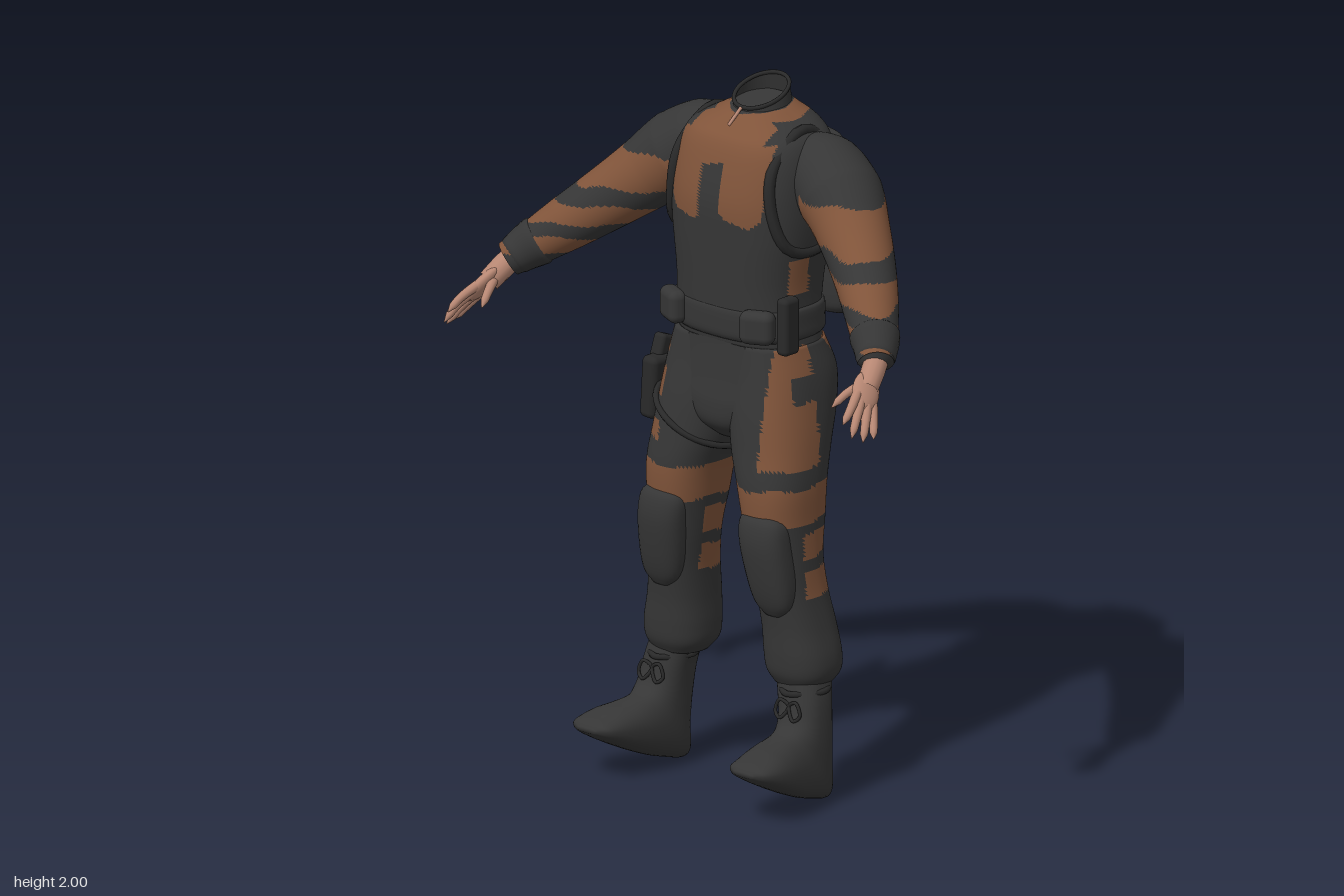
import * as THREE from 'three';
import { mergeVertices } from 'three/addons/utils/BufferGeometryUtils.js';
import { RoundedBoxGeometry } from 'three/addons/geometries/RoundedBoxGeometry.js';

const V = (a) => new THREE.Vector3(...a);
const material = (name, color, side = THREE.FrontSide) =>
  Object.assign(new THREE.MeshStandardMaterial({ color, side }), { name });

// Skin over rings listed from top to bottom: [centre x, half width, back z, front z, back y, front y]
function loft(rings, { p = 2.4, steps = 8, sides = 40 } = {}) {
  const full = rings.map((r) => (r.length === 5 ? [...r, r[4]] : r));
  const a = new THREE.CatmullRomCurve3(full.map((r) => V(r.slice(0, 3))), false, 'catmullrom');
  const b = new THREE.CatmullRomCurve3(full.map((r) => V(r.slice(3, 6))), false, 'catmullrom');
  const n = (rings.length - 1) * steps, pos = [], idx = [];
  const bend = (v) => Math.sign(v) * Math.abs(v) ** (2 / p);
  for (let i = 0; i <= n; i++) {
    const { x: cx, y: rx, z: zb } = a.getPoint(i / n), { x: zf, y: yb, z: yf } = b.getPoint(i / n);
    for (let j = 0; j < sides; j++) {
      const t = (j / sides) * Math.PI * 2, u = (1 + bend(Math.sin(t))) / 2;
      pos.push(cx + rx * bend(Math.cos(t)), yb + (yf - yb) * u, zb + (zf - zb) * u);
      const k = (j + 1) % sides, c = i * sides;
      if (i < n) idx.push(c + j, c + k, c + sides + j, c + k, c + sides + k, c + sides + j);
    }
  }
  for (const [r, i] of [[full[0], 0], [full[full.length - 1], n]]) {
    const c = pos.length / 3;
    pos.push(r[0], (r[4] + r[5]) / 2, (r[2] + r[3]) / 2);
    for (let j = 0; j < sides; j++) {
      const m = i * sides + j, k = i * sides + (j + 1) % sides;
      idx.push(c, i ? m : k, i ? k : m);
    }
  }
  const g = new THREE.BufferGeometry();
  g.setAttribute('position', new THREE.Float32BufferAttribute(pos, 3));
  g.setIndex(idx);
  g.computeVertexNormals();
  return g;
}

// Tapered tube through points, radii spread evenly along its length
function limb(points, radii, n = 40, sides = 24) {
  const curve = new THREE.CatmullRomCurve3(points.map(V));
  let g = new THREE.TubeGeometry(curve, n, 1, sides);
  const p = g.attributes.position, v = new THREE.Vector3();
  for (let i = 0; i < p.count; i++) {
    const t = Math.floor(i / (sides + 1)) / n, f = t * (radii.length - 1);
    const k = Math.min(Math.floor(f), radii.length - 2);
    const r = radii[k] + (radii[k + 1] - radii[k]) * (f - k), c = curve.getPointAt(t);
    v.fromBufferAttribute(p, i).sub(c).multiplyScalar(r).add(c);
    p.setXYZ(i, v.x, v.y, v.z);
  }
  g.deleteAttribute('uv');
  g.deleteAttribute('normal');
  g = mergeVertices(g, 1e-5);
  g.computeVertexNormals();
  return g;
}

// Sort faces into two material groups by where their centres lie
function paint(g, isPatch) {
  const p = g.attributes.position, sets = [[], []], idx = g.index.array;
  for (let i = 0; i < idx.length; i += 3) {
    const f = [idx[i], idx[i + 1], idx[i + 2]];
    const mid = (get) => f.reduce((s, k) => s + p[get](k), 0) / 3;
    const x = mid('getX'), y = mid('getY'), z = mid('getZ');
    const w = 0.005 * Math.sin(38 * x + 9 * y) + 0.005 * Math.sin(31 * z + 25 * x);
    sets[isPatch(x, y + w, z + w) ? 1 : 0].push(...f);
  }
  g.setIndex([...sets[0], ...sets[1]]);
  g.addGroup(0, sets[0].length, 0);
  g.addGroup(sets[0].length, sets[1].length, 1);
  return g;
}

const within = (v, lo, hi) => v > lo && v < hi;

function torsoPatch(x, y, z) {
  const X = Math.abs(x);
  // Ring around the neck, two chest panels, waist spots
  if (Math.hypot(x, z + 0.1) < 0.085) return false;
  if (z < -0.02) {
    if (y > 1.84 && Math.hypot(x / 0.132, (z + 0.1) / 0.125) < 1) return true;
    return X > 0.18 && within(y, 1.44, 1.54) && z > -0.06;
  }
  const corner = Math.max(0, X - 0.12) ** 2 * 18 + Math.max(0, 0.07 - X) ** 2 * 18;
  const edge = y > 1.86 ? 0.135 : 0.166;
  if (X < edge && y > 1.64 + corner) return y > 1.8 || !within(x, -0.042, 0.034);
  return X > 0.18 && within(y, 1.44, 1.54) && z < 0.01;
}

function trouserPatch(x, y, z) {
  const X = Math.abs(x);
  if (within(y, 0.8, 0.905)) return true;
  if (z < 0.03 && (within(y, 0.7, 0.77) || within(y, 0.59, 0.665))) return true;
  if (z < -0.08 && X < 0.2 && within(y, 1.25, 1.3)) return true;
  if (z < -0.05) return false;
  if (x > 0) return X > 0.185 && (within(y, 0.96, 1.14) || within(y, 1.21, 1.29) || (z > 0.03 && within(y, 1.1, 1.25)));
  return X > 0.185 && (within(y, 1.21, 1.29) || within(y, 1.09, 1.17) || within(y, 0.97, 1.02));
}

const sleevePatch = (x, y) => Math.abs(x) > 0.235 &&
  (within(y, 1.625, 1.735) || within(y, 1.515, 1.57) || within(y, 1.425, 1.475));

export function createModel() {
  const model = new THREE.Group();
  const cloth = material('charcoal cloth', 0x363636);
  const brown = material('brown patch', 0x80543a);
  const skin = material('skin', 0xb78773);
  const dark = material('dark webbing', 0x292929, THREE.DoubleSide);
  const add = (name, g, m, parent = model) => {
    const mesh = new THREE.Mesh(g, m);
    mesh.name = name;
    parent.add(mesh);
    return mesh;
  };
  const box = (name, size, at, m = cloth, r = 0.015) => {
    const mesh = add(name, new RoundedBoxGeometry(...size, 3, r), m);
    mesh.position.set(...at);
    return mesh;
  };
  const cord = (name, pts, r, closed = false, m = dark) =>
    add(name, new THREE.TubeGeometry(new THREE.CatmullRomCurve3(pts.map(V), closed), 40, r, 8, closed), m);

  // Torso and hips
  add('torso', paint(loft([
    [0, 0.08, -0.18, -0.02, 1.945, 1.925], [0, 0.105, -0.195, 0, 1.93, 1.915], [0, 0.16, -0.225, 0.04, 1.9, 1.89],
    [0, 0.2, -0.245, 0.07, 1.86], [0, 0.22, -0.255, 0.092, 1.8], [0, 0.226, -0.25, 0.112, 1.7],
    [0, 0.224, -0.235, 0.112, 1.6], [0, 0.208, -0.215, 0.106, 1.46], [0, 0.208, -0.2, 0.1, 1.36],
    [0, 0.208, -0.2, 0.09, 1.29]], { p: 2.6, steps: 12, sides: 110 }), torsoPatch), [cloth, brown]);
  add('hips', paint(loft([
    [0, 0.205, -0.2, 0.09, 1.33], [0, 0.216, -0.21, 0.092, 1.26], [0, 0.222, -0.216, 0.097, 1.18],
    [0, 0.2, -0.2, 0.104, 1.11], [0, 0.13, -0.165, 0.095, 1.05], [0, 0.05, -0.11, 0.05, 1.005]],
  { p: 2.5, sides: 64 }), trouserPatch), [cloth, brown]);

  // Collar, leaning forward and open at the top
  const collar = new THREE.CylinderGeometry(0.076, 0.09, 0.085, 32, 3, true);
  const cp = collar.attributes.position;
  for (let i = 0; i < cp.count; i++) cp.setY(i, cp.getY(i) - cp.getZ(i) * 0.42);
  collar.translate(0, 1.925, -0.1);
  collar.computeVertexNormals();
  add('collar', collar, material('collar cloth', 0x343434, THREE.DoubleSide));
  cord('collarRim', Array.from({ length: 16 }, (_, i) => {
    const t = (i / 16) * Math.PI * 2, z = Math.sin(t) * 0.076;
    return [Math.cos(t) * 0.076, 1.966 - z * 0.42, z - 0.1];
  }), 0.006, true);
  cord('collarZip', [[0, 1.935, -0.017], [0, 1.895, 0.035]], 0.005, false, skin);

  // Belt
  add('belt', loft([
    [0, 0.205, -0.2, 0.095, 1.4], [0, 0.216, -0.211, 0.105, 1.39], [0, 0.217, -0.211, 0.105, 1.35],
    [0, 0.217, -0.211, 0.103, 1.32], [0, 0.205, -0.2, 0.095, 1.305]], { p: 2.6, steps: 3, sides: 56 }), cloth);
  box('radioPouch', [0.042, 0.165, 0.062], [0.218, 1.365, 0.03], dark);

  // Backpack
  add('backpack', loft([
    [0, 0.07, -0.31, -0.27, 1.825], [0, 0.115, -0.325, -0.255, 1.805], [0, 0.13, -0.335, -0.245, 1.74],
    [0, 0.145, -0.35, -0.24, 1.6], [0, 0.157, -0.358, -0.245, 1.45], [0, 0.16, -0.362, -0.255, 1.34],
    [0, 0.13, -0.35, -0.27, 1.305]], { p: 3.2, steps: 5 }), cloth);
  const pocket = box('backpackPocket', [0.19, 0.2, 0.055], [0, 1.63, -0.342], cloth, 0.025);
  pocket.rotation.x = 0.1;
  const flap = box('pocketFlap', [0.2, 0.075, 0.055], [0, 1.72, -0.335], cloth, 0.025);
  flap.rotation.x = 0.12;

  for (const s of [1, -1]) {
    const side = s > 0 ? 'left' : 'right';
    const m = (pts) => pts.map(([x, y, z]) => [x * s, y, z]);
    const shift = (rings) => rings.map(([x, ...r]) => [x * s, ...r]);

    // Sleeve and cuff
    add(side + 'Sleeve', paint(limb(m([[0.13, 1.79, -0.11], [0.22, 1.772, -0.115], [0.3, 1.725, -0.095],
      [0.4, 1.64, -0.045], [0.5, 1.555, 0.02], [0.6, 1.47, 0.1], [0.685, 1.395, 0.18]]),
    [0.085, 0.114, 0.119, 0.105, 0.095, 0.086, 0.077, 0.065, 0.05], 110, 48), sleevePatch), [cloth, brown]);
    add(side + 'Cuff', limb(m([[0.61, 1.462, 0.108], [0.65, 1.428, 0.143], [0.69, 1.388, 0.188]]),
      [0.05, 0.071, 0.066, 0.06, 0.055, 0.02], 16), cloth);

    // Hand with four fingers and a thumb
    const hand = new THREE.Group();
    hand.name = side + 'Hand';
    model.add(hand);
    add('wrist', limb(m([[0.675, 1.405, 0.165], [0.69, 1.375, 0.2], [0.705, 1.34, 0.24]]), [0.034, 0.034, 0.032], 8, 14), skin, hand);
    const palm = add('palm', new THREE.SphereGeometry(1, 20, 14), skin, hand);
    palm.scale.set(0.021, 0.042, 0.065);
    palm.position.set(0.711 * s, 1.335, 0.25);
    palm.up.set(-0.05 * s, 0.06, 0.08);
    palm.lookAt(0.771 * s, 1.235, 0.34);
    const fingers = [
      [[0.708, 1.34, 0.28], [0.728, 1.308, 0.33], [0.737, 1.275, 0.37]],
      [[0.718, 1.325, 0.275], [0.745, 1.282, 0.325], [0.76, 1.238, 0.36]],
      [[0.728, 1.312, 0.262], [0.756, 1.268, 0.3], [0.776, 1.223, 0.332]],
      [[0.732, 1.303, 0.245], [0.76, 1.263, 0.272], [0.784, 1.226, 0.297]],
      [[0.692, 1.355, 0.225], [0.668, 1.33, 0.28], [0.652, 1.295, 0.325]]];
    fingers.forEach((f, i) => add(i < 4 ? 'finger' : 'thumb',
      limb(m(f), [0.014, 0.014, 0.013, 0.012, 0.011, 0.001], 15, 10), skin, hand));

    // Trouser leg and knee pad
    add(side + 'TrouserLeg', paint(loft(shift([
      [0.112, 0.1, -0.185, 0.08, 1.29], [0.122, 0.117, -0.215, 0.092, 1.2], [0.13, 0.125, -0.2, 0.108, 1.1],
      [0.145, 0.122, -0.162, 0.118, 1], [0.168, 0.108, -0.128, 0.128, 0.9], [0.178, 0.098, -0.115, 0.122, 0.8],
      [0.188, 0.092, -0.097, 0.108, 0.7], [0.2, 0.088, -0.105, 0.094, 0.6], [0.213, 0.094, -0.12, 0.08, 0.5],
      [0.223, 0.103, -0.125, 0.075, 0.42], [0.226, 0.1, -0.12, 0.068, 0.37], [0.228, 0.078, -0.09, 0.05, 0.335]]),
    { steps: 9, sides: 60 }), trouserPatch), [cloth, brown]);
    add(side + 'KneePad', loft(shift([
      [0.182, 0.05, 0.06, 0.118, 0.835], [0.184, 0.075, 0.04, 0.138, 0.805], [0.19, 0.078, 0.03, 0.144, 0.74],
      [0.2, 0.074, 0.02, 0.127, 0.64], [0.206, 0.062, 0.03, 0.108, 0.575], [0.208, 0.035, 0.04, 0.088, 0.54]]),
    { p: 2.5, steps: 4, sides: 28 }), cloth);

    // Boot, toe raised
    add(side + 'Boot', loft(shift([
      [0.235, 0.074, -0.085, 0.05, 0.36], [0.25, 0.073, -0.068, 0.06, 0.3], [0.26, 0.072, -0.06, 0.07, 0.2, 0.255],
      [0.265, 0.073, -0.056, 0.088, 0.1, 0.228], [0.265, 0.075, -0.052, 0.115, 0.008, 0.213],
      [0.273, 0.084, 0.04, 0.165, 0.022, 0.202], [0.284, 0.086, 0.12, 0.21, 0.05, 0.194],
      [0.291, 0.08, 0.2, 0.25, 0.088, 0.182], [0.292, 0.066, 0.262, 0.282, 0.122, 0.17],
      [0.292, 0.03, 0.292, 0.296, 0.142, 0.154]]), { p: 2.6, steps: 5, sides: 36 }), cloth);
    cord(side + 'BootStrap', m([[0.318, 0.325, -0.01], [0.245, 0.318, 0.063], [0.172, 0.325, -0.01], [0.245, 0.33, -0.082]]), 0.009, true);
    for (const d of [-1, 1]) {
      cord(side + 'LaceLoop', m([[0.255, 0.285, 0.066], [0.255 + 0.03 * d, 0.3, 0.07], [0.255 + 0.045 * d, 0.265, 0.072],
        [0.255 + 0.025 * d, 0.25, 0.078]]), 0.005, true);
    }

    // Shoulder strap, belt pouch and loose cords
    cord(side + 'ShoulderStrap', m([[0.165, 1.89, -0.09], [0.172, 1.8, 0.045], [0.186, 1.68, 0.06],
      [0.208, 1.58, 0.02], [0.213, 1.56, -0.1], [0.198, 1.62, -0.2], [0.172, 1.78, -0.222]]), 0.016, true);
    const pouch = box(side + 'BeltPouch', [0.1, 0.095, 0.055], [0.157 * s, 1.36, 0.087], cloth, 0.024);
    pouch.rotation.y = 0.45 * s;
    cord(side + 'PackCord', m([[0.12, 1.44, -0.31], [0.2, 1.44, -0.315], [0.24, 1.47, -0.31], [0.25, 1.44, -0.305],
      [0.21, 1.42, -0.32], [0.22, 1.39, -0.31]]), 0.007);
    cord(side + 'LooseCord', m([[0.32, 1.465, -0.23], [0.348, 1.457, -0.228], [0.36, 1.43, -0.23], [0.34, 1.402, -0.232]]), 0.007);
  }

  // Holster with sidearm grip and thigh strap on the right leg
  const holster = box('holster', [0.055, 0.18, 0.09], [-0.288, 1.08, 0.01], dark, 0.018);
  holster.rotation.z = -0.06;
  const grip = box('sidearmGrip', [0.042, 0.08, 0.055], [-0.292, 1.18, -0.015], dark, 0.012);
  grip.rotation.x = -0.35;
  cord('thighStrap', Array.from({ length: 16 }, (_, i) => {
    const t = (i / 16) * Math.PI * 2, x = 0.126 * Math.cos(t);
    return [x - 0.142, 1.03 - x * 0.55, -0.024 + 0.143 * Math.sin(t)];
  }), 0.009, true);
  return model;
}
